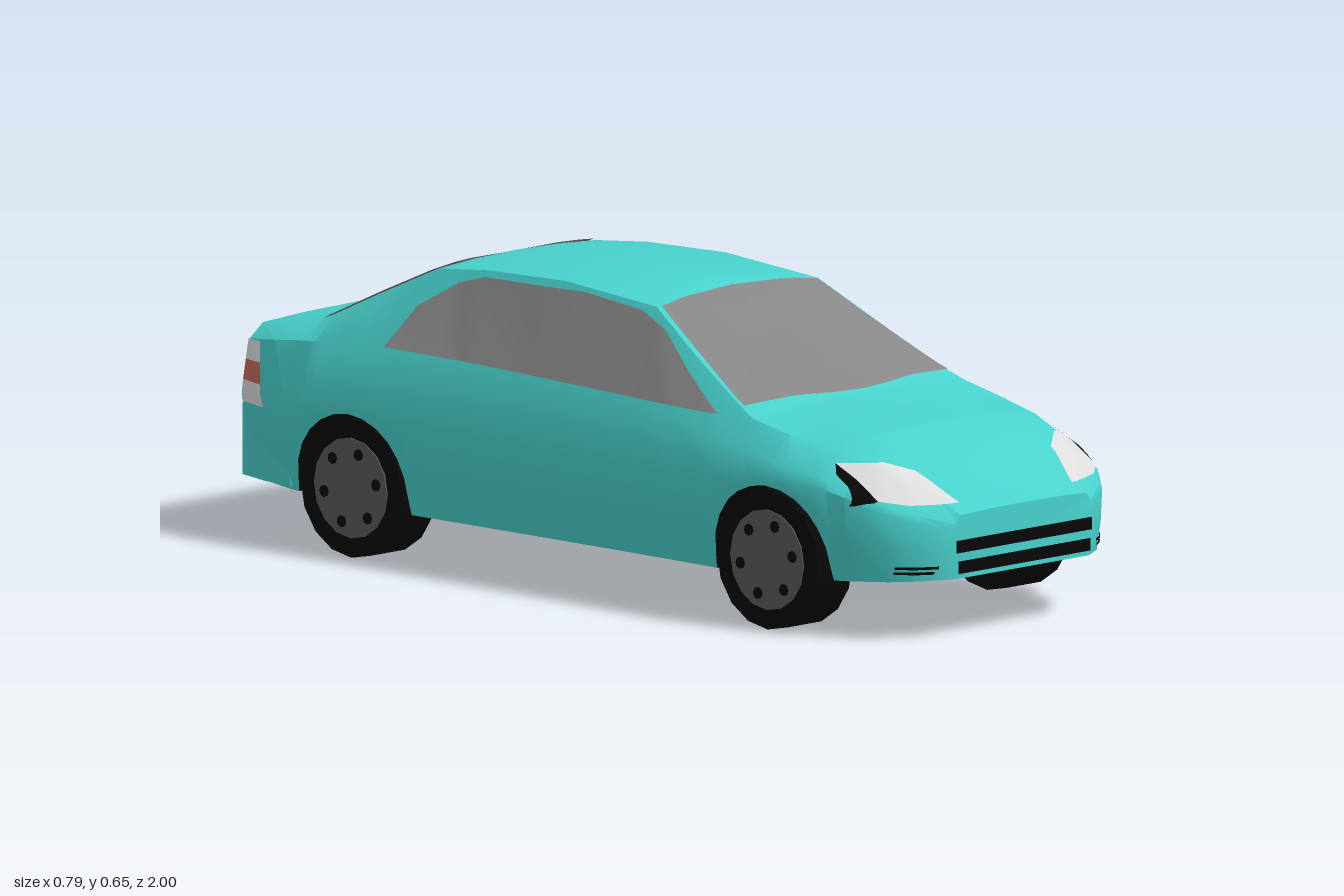
import * as THREE from 'three';
import { toCreasedNormals } from 'three/addons/utils/BufferGeometryUtils.js';

const mat = (name, color, side = THREE.FrontSide) => {
  const m = new THREE.MeshStandardMaterial({ color, side });
  m.name = name;
  return m;
};

// Body stations: z, widest x, belt x, belt y, roof or hood edge x, edge y, centre y
const STATIONS = [
  [-0.968, .35, .33, .42, .29, .45, .458],
  [-0.88, .38, .345, .43, .30, .462, .472],
  [-0.80, .395, .352, .44, .298, .472, .485],
  [-0.65, .397, .357, .45, .264, .547, .56],
  [-0.50, .392, .352, .45, .238, .617, .627],
  [-0.35, .388, .346, .445, .240, .632, .641],
  [-0.12, .386, .345, .44, .241, .638, .648],
  [0.15, .386, .346, .43, .244, .617, .627],
  [0.30, .387, .352, .42, .278, .535, .55],
  [0.44, .390, .360, .39, .305, .462, .487],
  [0.51, .393, .365, .375, .322, .432, .455],
  [0.62, .393, .375, .36, .32, .41, .435],
  [0.75, .378, .367, .34, .29, .393, .413],
  [0.82, .362, .352, .32, .27, .373, .39],
  [0.90, .328, .322, .29, .25, .328, .347],
  [0.95, .285, .278, .272, .20, .297, .312],
  [0.995, .210, .205, .25, .19, .268, .272],
];
const AXLE = 0.615, ARCH = 0.16;

function station(z) {
  let i = 0;
  while (i < STATIONS.length - 2 && z > STATIONS[i + 1][0]) i++;
  const a = STATIONS[i], b = STATIONS[i + 1], t = (z - a[0]) / (b[0] - a[0]);
  return a.map((v, k) => v + (b[k] - v) * t);
}

// Half cross-section from the underside centre, through the wheel arch, up to the roof centre
function section(z) {
  const [, xw, xb, yb, xr, yr, yc] = station(z);
  const xs = xw * 0.945, y0 = 0.11 + 0.05 * Math.max(0, Math.abs(z) - 0.55);
  const d = Math.abs(Math.abs(z) - AXLE);
  const ya = d <= ARCH + 1e-6 ? 0.15 + Math.sqrt(Math.max(0, ARCH * ARCH - d * d)) : y0;
  const yw = Math.min(0.316, yb - 0.015);
  const sideX = y => xs + (xw - xs) * (1 - (1 - (y - y0) / (yw - y0)) ** 2);
  const xi = Math.min(0.265, xs - 0.02), ym = (ya + yw) / 2;
  return [[0, y0], [xi, y0], [xi, ya], [sideX(ya), ya], [sideX(ym), ym], [xw, yw],
    [xb, yb], [xr, yr], [xr * 0.55, yr + (yc - yr) * 0.75], [0, yc]]
    .map(([x, y]) => new THREE.Vector3(x, y, z));
}

// Collects triangles together with their mirror images across x
class MirrorBuilder {
  positions = [];
  tri(a, b, c) {
    for (const p of [a, b, c]) this.positions.push(p.x, p.y, p.z);
    for (const p of [a, c, b]) this.positions.push(-p.x, p.y, p.z);
  }
  quad(a, b, c, d) { this.tri(a, b, c); this.tri(b, d, c); }
  build(crease = 0.6) {
    const g = new THREE.BufferGeometry();
    g.setAttribute('position', new THREE.Float32BufferAttribute(this.positions, 3));
    return toCreasedNormals(g, crease);
  }
}

export function createModel() {
  const car = new THREE.Group();
  car.name = 'car';
  const paint = mat('turquoise paint', 0x48d1cc);
  const black = mat('black trim', 0x080808, THREE.DoubleSide);
  const glass = mat('grey glass', 0x868686, THREE.DoubleSide);
  const lamp = mat('clear lamp', 0xdcdcdc, THREE.DoubleSide);
  const red = mat('red lamp', 0xc56a5c, THREE.DoubleSide);
  const rimGrey = mat('wheel grey', 0x5a5a5a);
  const add = (name, geometry, material, parent = car) => {
    const m = new THREE.Mesh(geometry, material);
    m.name = name;
    parent.add(m);
    return m;
  };

  // Body shell and underside, with extra stations around the wheel arches
  const zs = STATIONS.map(s => s[0]);
  for (const s of [-1, 1]) {
    for (const e of [-1, 1]) zs.push(s * AXLE + e * (ARCH + 0.004));
    for (let k = 0; k <= 12; k++) zs.push(s * AXLE - ARCH * Math.cos(k * Math.PI / 12));
  }
  zs.sort((a, b) => a - b);
  const rings = zs.map(section), shell = new MirrorBuilder(), under = new MirrorBuilder();
  for (let i = 0; i < rings.length - 1; i++)
    for (let j = 0; j < 9; j++)
      (j < 3 ? under : shell).quad(rings[i][j], rings[i][j + 1], rings[i + 1][j], rings[i + 1][j + 1]);
  const tail = rings[0], nose = rings[rings.length - 1];
  const tailMid = new THREE.Vector3(0, 0.28, tail[0].z), noseMid = new THREE.Vector3(0, 0.2, nose[0].z);
  for (let j = 0; j < 9; j++) {
    shell.tri(tailMid, tail[j + 1], tail[j]);
    shell.tri(noseMid, nose[j], nose[j + 1]);
  }
  const body = add('body', shell.build(), paint);
  add('underside', under.build(0.3), black);

  // Rear bumper
  const plan = new THREE.Shape([[-.378, .8], [.378, .8], [.372, .88], [.345, .975], [0, 1], [-.345, .975], [-.372, .88]]
    .map(p => new THREE.Vector2(...p)));
  const bumperGeo = new THREE.ExtrudeGeometry(plan, { depth: 0.155, bevelEnabled: false });
  add('rearBumper', bumperGeo.rotateX(-Math.PI / 2).translate(0, 0.13, 0), paint);

  // Thin panels laid on the body: two outlines projected along one direction, mirrored across x
  const VIEWS = {
    front: [(a, b) => [a, b, 2], [0, 0, -1]],
    rear: [(a, b) => [a, b, -2], [0, 0, 1]],
    side: [(a, b) => [2, b, a], [-1, 0, 0]],
    top: [(a, b) => [a, 2, b], [0, -1, 0]],
  };
  const ray = new THREE.Raycaster();
  const along = (line, t) => {
    const f = t * (line.length - 1), i = Math.min(Math.floor(f), line.length - 2), k = f - i;
    return [0, 1].map(n => line[i][n] + (line[i + 1][n] - line[i][n]) * k);
  };
  body.updateMatrixWorld();
  function panel(name, material, view, lower, upper, nu = 24, nv = 8, lift = 0.004) {
    const [origin, dir] = VIEWS[view], d = new THREE.Vector3(...dir), b = new MirrorBuilder();
    const project = (u, v) => {
      const p = along(lower, u), q = along(upper, u);
      const o = new THREE.Vector3(...origin(p[0] + (q[0] - p[0]) * v, p[1] + (q[1] - p[1]) * v));
      ray.set(o, d);
      const hit = ray.intersectObject(body)[0];
      return hit ? hit.point.addScaledVector(hit.face.normal, lift) : null;
    };
    const grid = [];
    for (let i = 0; i <= nu; i++) {
      grid.push([]);
      for (let j = 0; j <= nv; j++) grid[i].push(project(i / nu, j / nv));
    }
    for (let i = 0; i < nu; i++)
      for (let j = 0; j < nv; j++) {
        const c = [grid[i][j], grid[i + 1][j], grid[i][j + 1], grid[i + 1][j + 1]];
        if (c.every(Boolean)) b.quad(...c);
      }
    add(name, b.build(), material);
  }
  const bar = (name, x0, x1, y0, y1) =>
    panel(name, black, 'front', [[x0, y0], [x1, y0]], [[x0, y1], [x1, y1]], 6, 2);

  // Windows
  panel('windshield', glass, 'top', [[0, .52], [.308, .47]], [[0, .135], [.235, .155]], 12, 12);
  panel('rearWindow', glass, 'top', [[.288, -.79], [0, -.815]], [[.226, -.495], [0, -.525]], 12, 12);
  panel('sideWindows', glass, 'side', [[-.55, .455], [-.25, .45], [.1, .44], [.42, .43]],
    [[-.55, .455], [-.51, .54], [-.42, .597], [-.35, .617], [-.05, .622], [.12, .605], [.2, .575], [.29, .51], [.42, .43]], 32, 8);

  // Headlamps with dark outer corners
  panel('headlamps', lamp, 'front', [[.17, .287], [.22, .287], [.28, .289], [.325, .298]],
    [[.17, .287], [.205, .348], [.26, .368], [.325, .365]], 18, 10);
  panel('headlampCorners', black, 'front', [[.325, .298], [.357, .288]], [[.325, .365], [.342, .345]], 6, 8);

  // Grille and fog slots
  bar('upperGrille', 0, .205, .188, .215);
  bar('lowerGrille', 0, .2, .143, .17);
  bar('fogSlotUpper', .235, .305, .156, .162);
  bar('fogSlotLower', .243, .305, .145, .151);

  // Tail lamps wrapping the rear corners, in three bands
  for (const [label, m, y0, y1] of [['Lower', lamp, .29, .335], ['Middle', red, .335, .378], ['Upper', lamp, .378, .42]]) {
    const row = (y, view) => {
      const t = (y - .29) / .13;
      return view === 'rear' ? [[.345 - .016 * t, y], [.235 + .05 * t, y]] : [[-.966, y], [-.875 - .05 * t, y]];
    };
    for (const view of ['rear', 'side'])
      panel(view + 'TailLamp' + label, m, view, row(y0, view), row(y1, view), 6, 4);
  }

  // Plate recess with painted surround
  panel('plateSurround', paint, 'rear', [[.105, .318], [0, .318]], [[.14, .408], [0, .408]], 4, 2);
  panel('plateRecess', black, 'rear', [[.09, .328], [0, .328]], [[.12, .395], [0, .395]], 4, 2, 0.008);

  // Wheels
  const disc = (radius, width, sides) =>
    toCreasedNormals(new THREE.CylinderGeometry(radius, radius, width, sides).rotateZ(Math.PI / 2), 0.6);
  for (const sx of [-1, 1])
    for (const sz of [-1, 1]) {
      const wheel = new THREE.Group();
      wheel.name = (sz > 0 ? 'front' : 'rear') + (sx > 0 ? 'Left' : 'Right') + 'Wheel';
      wheel.position.set(sx * 0.332, 0.15, sz * AXLE);
      add('tire', disc(0.15, 0.104, 16), black, wheel);
      add('rim', disc(0.108, 0.11, 16), rimGrey, wheel);
      for (let k = 0; k < 6; k++) {
        const a = k * Math.PI / 3 + 0.2;
        add('rimHole', disc(0.013, 0.004, 8), black, wheel)
          .position.set(sx * 0.0555, Math.sin(a) * 0.078, Math.cos(a) * 0.078);
      }
      car.add(wheel);
    }
  return car;
}
